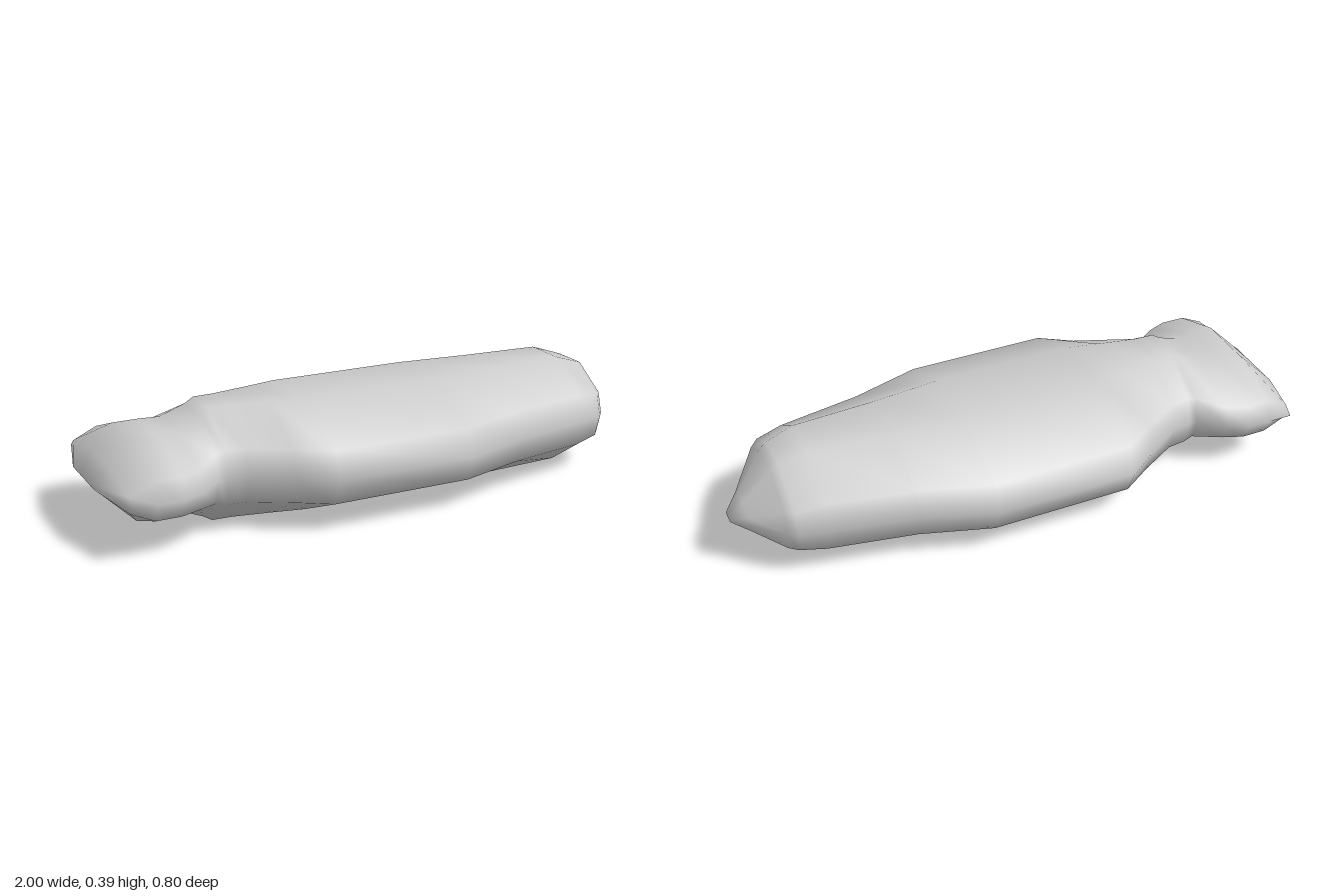
import * as THREE from 'three';
import { mergeVertices } from 'three/addons/utils/BufferGeometryUtils.js';

const MID_Y = 0.193;

// Stations along x: [x, half width, half height, z offset]
const STATIONS = [
  // tail
  [-1.0, 0.115, 0, 0], [-0.945, 0.33, 0.055, 0], [-0.865, 0.33, 0.135, 0],
  [-0.78, 0.33, 0.135, 0], [-0.71, 0.3, 0.135, 0], [-0.63, 0.222, 0.175, 0],
  // body
  [-0.6, 0.227, 0.193, 0], [-0.53, 0.238, 0.193, 0], [-0.4, 0.32, 0.193, 0],
  [-0.29, 0.398, 0.193, 0], [0.2, 0.398, 0.193, 0], [0.44, 0.315, 0.193, 0],
  [0.73, 0.255, 0.193, 0],
  // nose, slightly skewed
  [0.82, 0.235, 0.163, -0.003], [0.85, 0.207, 0.152, -0.01],
  [0.95, 0.08, 0.052, -0.043], [1.0, 0.026, 0, -0.055],
];

// Ten-sided section as fractions of [half width, half height]
const SECTION = [
  [1, 0], [0.9, 0.47], [0.3, 1], [-0.3, 1], [-0.9, 0.47],
  [-1, 0], [-0.9, -0.47], [-0.3, -1], [0.3, -1], [0.9, -0.47],
];

// Joins the sections into one closed, smooth skin
function loft(stations, section) {
  const n = section.length;
  const positions = [];
  const index = [];
  stations.forEach(([x, w, h, dz], i) => {
    section.forEach(([u, v], j) => {
      positions.push(x, MID_Y + v * h, dz + u * w);
      if (i === stations.length - 1) return;
      const a = i * n + j;
      const b = i * n + (j + 1) % n;
      index.push(a, a + n, b, b, a + n, b + n);
    });
  });
  let geometry = new THREE.BufferGeometry();
  geometry.setAttribute('position', new THREE.Float32BufferAttribute(positions, 3));
  geometry.setIndex(index);
  geometry = mergeVertices(geometry, 1e-4);
  geometry.computeVertexNormals();
  return geometry;
}

export function createModel() {
  const group = new THREE.Group();
  group.name = 'fishShapedModel';
  const material = new THREE.MeshStandardMaterial({ color: 0xcccccc });
  const body = new THREE.Mesh(loft(STATIONS, SECTION), material);
  body.name = 'bodyWithTail';
  group.add(body);
  return group;
}
